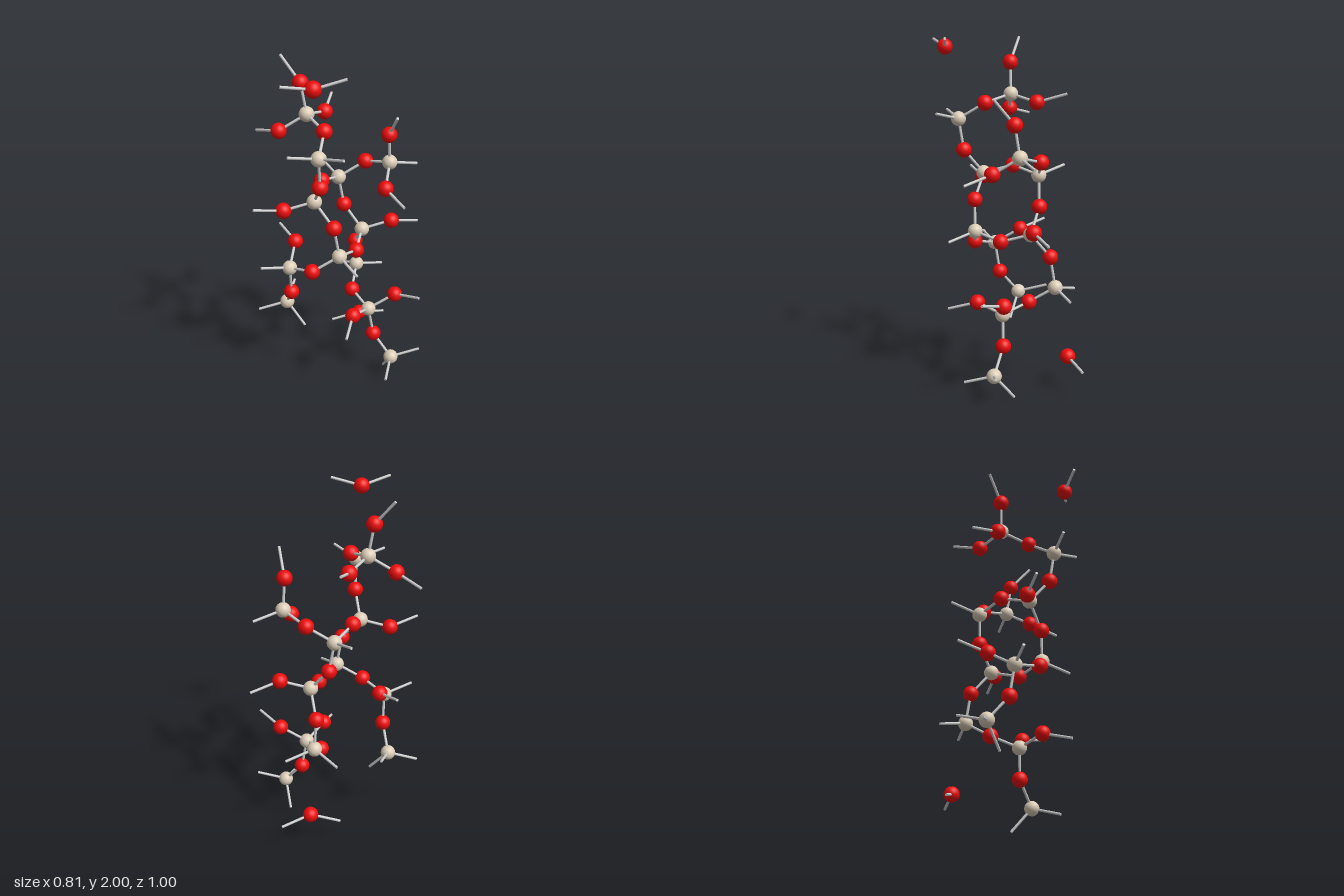
import * as THREE from 'three';

// Half of the atoms; the other half sits one centring step lower
const CENTRES = [
  [-0.134, 1.681, 0.118], [0.138, 1.545, 0.262], [0.132, 1.375, -0.262],
  [-0.14, 1.235, -0.117], [0.011, 1.228, 0.191], [-0.014, 0.919, -0.19],
];
const LINKS = [
  [0.179, 1.951, 0.328], [-0.152, 1.861, 0.143], [-0.182, 1.641, -0.052],
  [-0.23, 1.586, 0.239], [0.041, 1.638, 0.141], [0.148, 1.552, -0.236],
  [0.119, 1.366, 0.239], [-0.044, 1.332, -0.238], [0.227, 1.281, -0.142],
  [-0.092, 1.279, 0.05], [-0.122, 1.058, -0.143], [0.09, 0.969, -0.328],
];

// Lattice steps of the repeating network
const STEP_A = new THREE.Vector3(0.543, 0, 0);
const STEP_B = new THREE.Vector3(0.2715, 0.772, 0);
const STEP_C = new THREE.Vector3(0.2715, 0.157, -0.76);
const MAX_BOND = 0.225;

const expand = (list) => list.flatMap(([x, y, z]) => [
  new THREE.Vector3(x, y, z),
  new THREE.Vector3(x - Math.sign(x) * STEP_B.x, y - STEP_B.y, z),
]);

function latticeShifts() {
  const shifts = [];
  for (let a = -3; a <= 3; a++)
    for (let b = -3; b <= 3; b++)
      for (let c = -1; c <= 1; c++)
        shifts.push(new THREE.Vector3()
          .addScaledVector(STEP_A, a).addScaledVector(STEP_B, b).addScaledVector(STEP_C, c));
  return shifts;
}

export function createModel() {
  const model = new THREE.Group();
  model.name = 'crystalNetwork';
  const beige = new THREE.MeshStandardMaterial({ color: 0xdccdb8 });
  const red = new THREE.MeshStandardMaterial({ color: 0xee0c0c });
  const grey = new THREE.MeshStandardMaterial({ color: 0xcccccc });

  const centres = expand(CENTRES);
  const links = expand(LINKS);

  // Atom balls
  const addBalls = (points, radius, material, name) => {
    const geometry = new THREE.SphereGeometry(radius, 32, 20);
    for (const p of points) {
      const ball = new THREE.Mesh(geometry, material);
      ball.name = name;
      ball.position.copy(p);
      model.add(ball);
    }
  };
  addBalls(centres, 0.043, beige, 'siliconBall');
  addBalls(links, 0.045, red, 'oxygenBall');

  // Bond rods
  const rodGeometry = new THREE.CylinderGeometry(0.008, 0.008, 1, 12);
  const up = new THREE.Vector3(0, 1, 0);
  const addRod = (from, to, name) => {
    const dir = to.clone().sub(from);
    const rod = new THREE.Mesh(rodGeometry, grey);
    rod.name = name;
    rod.position.copy(from).addScaledVector(dir, 0.5);
    rod.scale.y = dir.length();
    rod.quaternion.setFromUnitVectors(up, dir.normalize());
    model.add(rod);
  };

  // Join neighbours; bonds to atoms outside the set stay as open-ended rods
  for (const shift of latticeShifts()) {
    const inside = shift.length() < 1e-6;
    for (const s of centres) {
      for (const o of links) {
        const farO = o.clone().add(shift);
        if (s.distanceTo(farO) < MAX_BOND) addRod(s, farO, inside ? 'bond' : 'openBond');
        const farS = s.clone().add(shift);
        if (!inside && o.distanceTo(farS) < MAX_BOND) addRod(o, farS, 'openBond');
      }
    }
  }
  return model;
}
